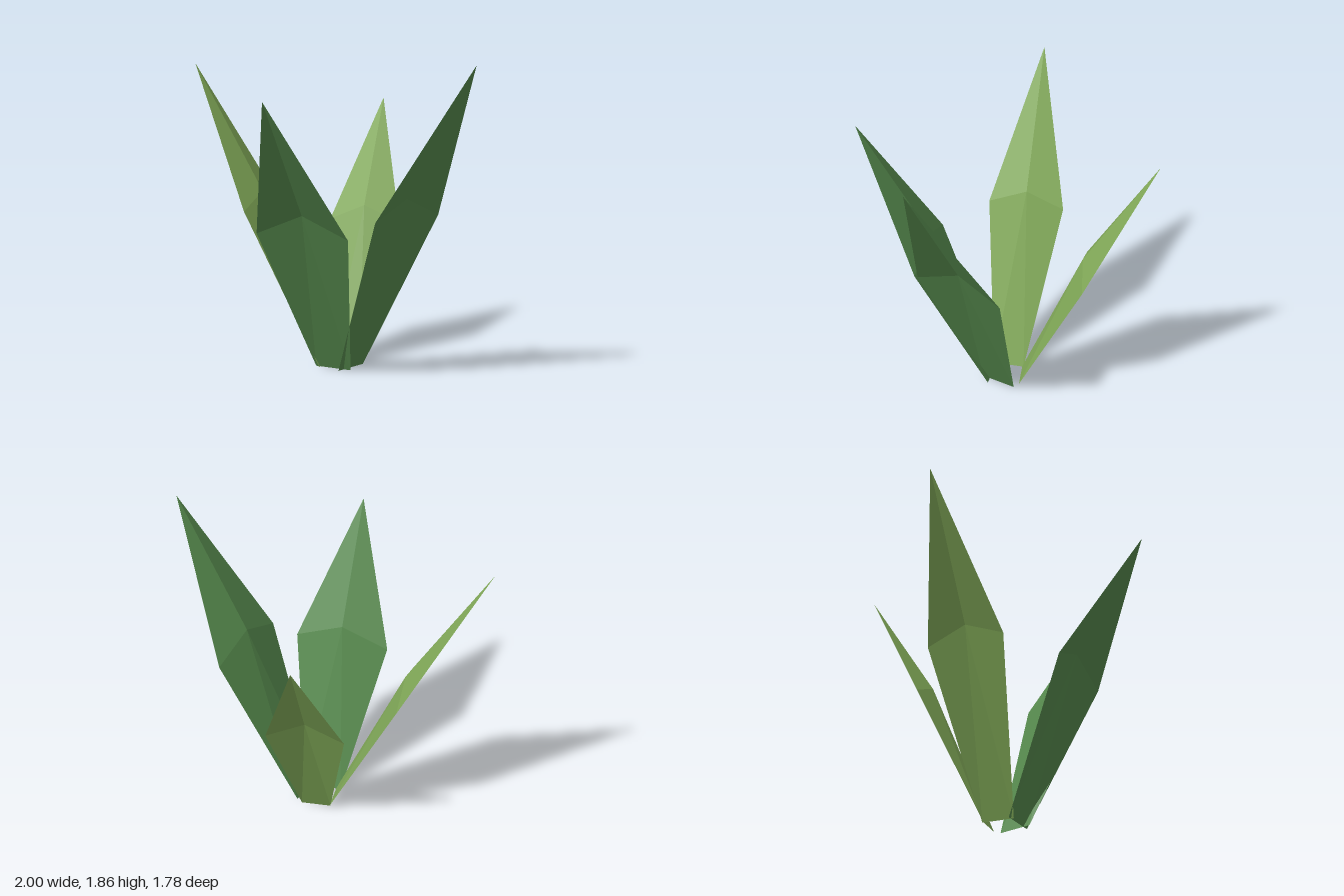
import * as THREE from 'three';

// One folded leaf blade: base edge, wide middle with a raised rib, pointed tip.
function makeLeaf({ name, color, base, mid, rib, tip }) {
  const [bl, br] = base.map((p) => new THREE.Vector3(...p));
  const [ml, mr] = mid.map((p) => new THREE.Vector3(...p));
  const bc = bl.clone().lerp(br, 0.5);
  const c = new THREE.Vector3(...rib);
  const t = new THREE.Vector3(...tip);

  const faces = [
    [bl, bc, c], [bl, c, ml],   // lower left
    [bc, br, c], [br, mr, c],   // lower right
    [ml, c, t], [c, mr, t],     // upper halves
  ];
  const geometry = new THREE.BufferGeometry().setFromPoints(faces.flat());
  geometry.computeVertexNormals();

  const material = new THREE.MeshStandardMaterial({
    color, flatShading: true, side: THREE.DoubleSide,
  });
  const mesh = new THREE.Mesh(geometry, material);
  mesh.name = name;
  return mesh;
}

const GREEN = 0x55884c;
const OLIVE = 0x80a857;

// Left and right corners are listed as seen from the inner side of each leaf.
const LEAVES = [
  {
    name: 'frontLeaf', color: GREEN,
    base: [[0.125, 0, 0.05], [-0.11, 0, 0.07]],
    mid: [[0.34, 0.87, 0.43], [-0.25, 0.87, 0.49]],
    rib: [0.04, 0.99, 0.45], tip: [0.08, 1.67, 0.89],
  },
  {
    name: 'leftLeaf', color: GREEN,
    base: [[0.11, 0, -0.12], [0.07, 0, 0.1]],
    mid: [[0.58, 0.96, -0.2], [0.47, 0.97, 0.35]],
    rib: [0.52, 1.08, 0.075], tip: [1, 1.86, 0.17],
  },
  {
    name: 'backLeaf', color: OLIVE,
    base: [[-0.11, 0, -0.1], [0.07, 0, -0.14]],
    mid: [[-0.33, 0.83, -0.44], [0.12, 0.83, -0.545]],
    rib: [-0.1, 0.93, -0.48], tip: [-0.2, 1.59, -0.89],
  },
  {
    name: 'rightLeaf', color: OLIVE,
    base: [[-0.08, 0, 0.085], [-0.105, 0, -0.11]],
    mid: [[-0.5, 0.95, 0.27], [-0.56, 0.95, -0.205]],
    rib: [-0.53, 1.05, 0.03], tip: [-1, 1.83, 0.085],
  },
];

export function createModel() {
  const plant = new THREE.Group();
  plant.name = 'plant';
  for (const leaf of LEAVES) plant.add(makeLeaf(leaf));
  return plant;
}
